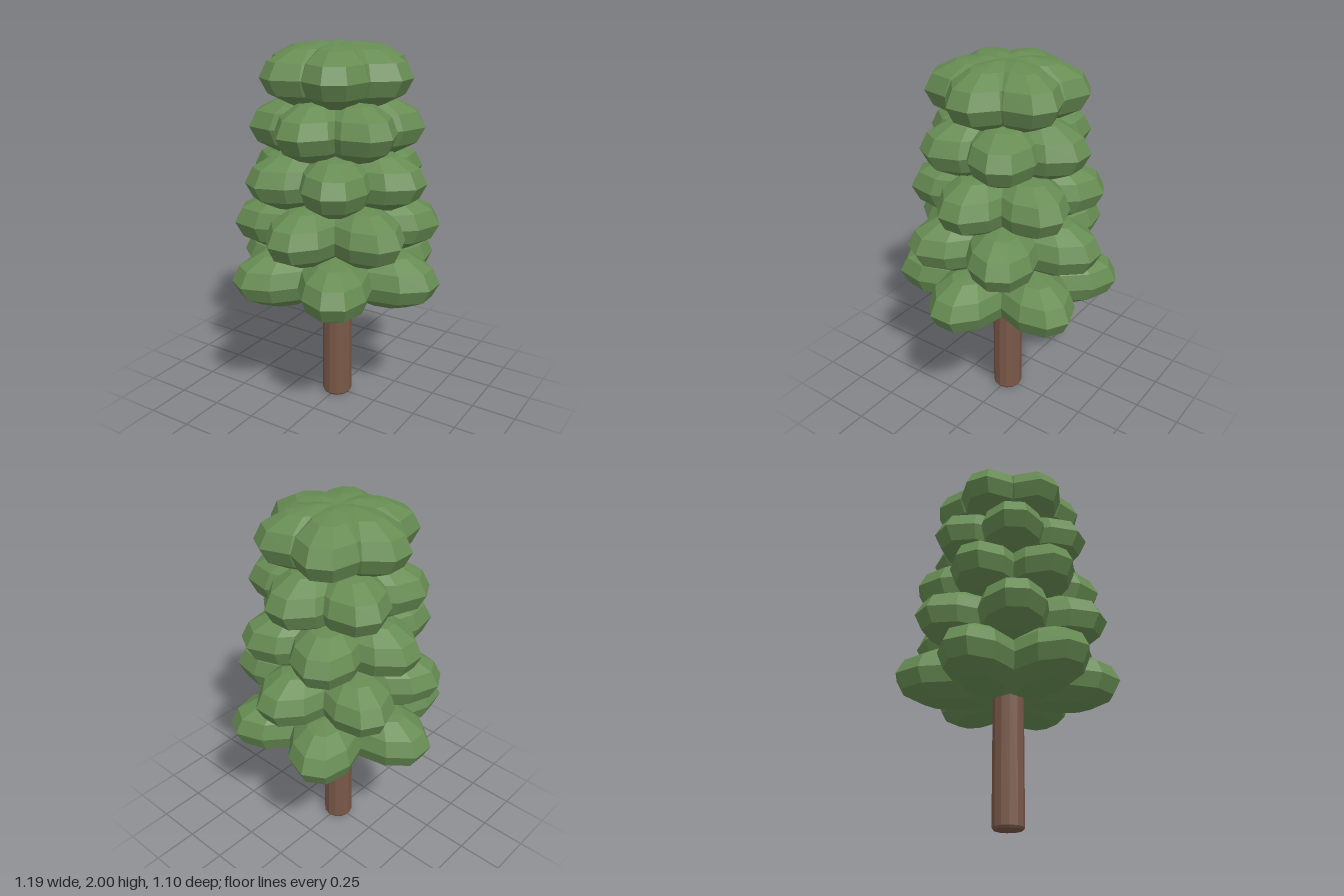
import * as THREE from 'three';

export function createModel() {
  const tree = new THREE.Group();
  tree.name = 'tree';

  const bark = new THREE.MeshStandardMaterial({ color: 0x795848, flatShading: true });
  bark.name = 'bark brown';
  const leaf = new THREE.MeshStandardMaterial({ color: 0x678c53, flatShading: true });
  leaf.name = 'leaf green';

  // Trunk: faceted post with a small bevel at the foot
  const profile = [[0, 0], [0.075, 0], [0.083, 0.012], [0.083, 0.9], [0, 0.9]]
    .map(([x, y]) => new THREE.Vector2(x, y));
  const trunk = new THREE.Mesh(new THREE.LatheGeometry(profile, 12), bark);
  trunk.name = 'trunk';
  tree.add(trunk);

  // One leaf lobe: low-poly ellipsoid, long along x, with a flat face pointing outward
  const lobeGeometry = new THREE.SphereGeometry(1, 10, 6);
  lobeGeometry.rotateY(Math.PI / 10);
  lobeGeometry.scale(0.32, 0.16, 0.2);

  // Five tiers of six lobes, shrinking upward, every other tier turned by half a step
  for (let tier = 0; tier < 5; tier++) {
    const foliage = new THREE.Group();
    foliage.name = `foliageTier${tier + 1}`;
    foliage.position.y = 0.79 + tier * 0.2625;
    const radius = 0.291 - tier * 0.0475;
    for (let i = 0; i < 6; i++) {
      const angle = (i + (tier % 2) / 2) * Math.PI / 3;
      const lobe = new THREE.Mesh(lobeGeometry, leaf);
      lobe.name = `leafLobe${i + 1}`;
      lobe.position.set(Math.cos(angle) * radius, 0, -Math.sin(angle) * radius);
      lobe.rotation.y = angle;
      foliage.add(lobe);
    }
    tree.add(foliage);
  }
  return tree;
}
